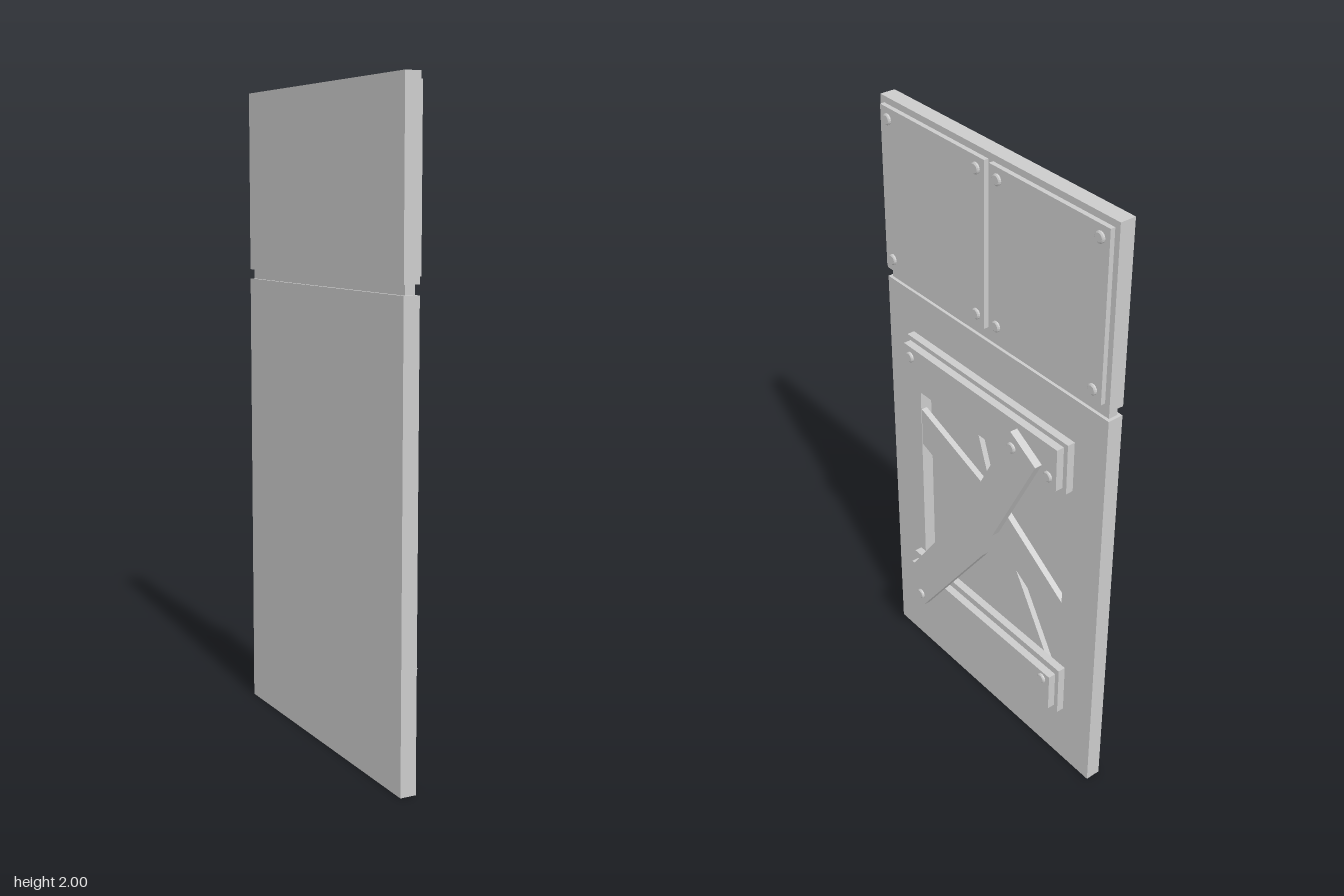
import * as THREE from 'three';

const material = new THREE.MeshStandardMaterial({ color: 0xcccccc, flatShading: true });

// Flat board whose outline is given as [z, y] corners, filling x0..x1
function board(name, points, x0, x1, hole) {
  const toVectors = (list) => list.map(([z, y]) => new THREE.Vector2(-z, y));
  const shape = new THREE.Shape(toVectors(points));
  if (hole) shape.holes.push(new THREE.Path(toVectors(hole)));
  const geometry = new THREE.ExtrudeGeometry(shape, { depth: x1 - x0, bevelEnabled: false });
  geometry.rotateY(Math.PI / 2);
  geometry.translate(x0, 0, 0);
  const mesh = new THREE.Mesh(geometry, material);
  mesh.name = name;
  return mesh;
}

const rect = (z0, z1, y0, y1) => [[z0, y0], [z1, y0], [z1, y1], [z0, y1]];

// Low bolt head standing on the surface at x
function bolt(x, y, z) {
  const geometry = new THREE.LatheGeometry(
    [[0.017, -0.004], [0.017, 0.005], [0.013, 0.008], [0, 0.008]].map(([r, h]) => new THREE.Vector2(r, h)), 16);
  geometry.rotateZ(-Math.PI / 2);
  const mesh = new THREE.Mesh(geometry, material);
  mesh.position.set(x, y, z);
  mesh.name = 'bolt';
  return mesh;
}

export function createModel() {
  const model = new THREE.Group();
  model.name = 'boardedWallPanel';

  // Wall slabs, the seam between them and the window recess
  model.add(
    board('lowerSlabBack', rect(0.5, -0.5, 0, 1.41), -0.07, -0.06),
    board('lowerSlab', rect(0.5, -0.5, 0, 1.41), -0.06, -0.02, rect(0.35, -0.345, 0.3, 1.2)),
    board('seam', rect(0.49, -0.49, 1.4, 1.45), -0.06, -0.03),
    board('upperSlab', rect(0.5, -0.5, 1.44, 2), -0.07, -0.02),
  );

  // Two bolted plates on the upper slab
  for (const side of [1, -1]) {
    const plate = new THREE.Group();
    plate.name = side > 0 ? 'leftPlate' : 'rightPlate';
    plate.add(board('plate', rect(side * 0.482, side * 0.01, 1.46, 1.98), -0.02, -0.005));
    for (const y of [1.495, 1.945]) {
      for (const z of [0.045, 0.448]) plate.add(bolt(-0.005, y, side * z));
    }
    model.add(plate);
  }

  // Bent planks inside the recess
  model.add(
    board('steepInnerPlank', [
      [0.281, 1.2], [0.09, 0.69], [-0.08, 0.4], [-0.138, 0.3],
      [-0.29, 0.3], [-0.23, 0.4], [-0.01, 0.765], [0.146, 1.2],
    ], -0.062, -0.042),
    board('crossInnerPlank', [
      [0.35, 0.99], [0.35, 0.855], [0.05, 0.748], [-0.345, 0.5],
      [-0.345, 0.65], [-0.045, 0.847],
    ], -0.042, -0.022),
  );

  // Stepped rails above and below the recess
  const rails = [
    ['upperRail', 1.1, 1.27, 1.113, 1.255, [[1.22, 0.328], [1.147, -0.322]]],
    ['lowerRail', 0.22, 0.4, 0.24, 0.376, [[0.27, 0.328], [0.35, -0.322]]],
  ];
  for (const [name, y0, y1, innerY0, innerY1, bolts] of rails) {
    const rail = new THREE.Group();
    rail.name = name;
    rail.add(
      board('railBase', rect(0.375, -0.372, y0, y1), -0.02, 0.005),
      board('railFace', rect(0.36, -0.356, innerY0, innerY1), 0.005, 0.03),
    );
    for (const [y, z] of bolts) rail.add(bolt(0.03, y, z));
    model.add(rail);
  }

  // Bent brace across the rails
  const brace = new THREE.Group();
  brace.name = 'outerBrace';
  brace.add(
    board('bracePlank', [
      [0.378, 0.323], [0.267, 0.254], [-0.055, 0.69], [-0.103, 0.8],
      [-0.294, 1.17], [-0.183, 1.235], [0.008, 0.868], [0.066, 0.757],
    ], 0.03, 0.055),
    bolt(0.055, 0.3, 0.277),
    bolt(0.055, 1.183, -0.19),
  );
  model.add(brace);

  return model;
}
